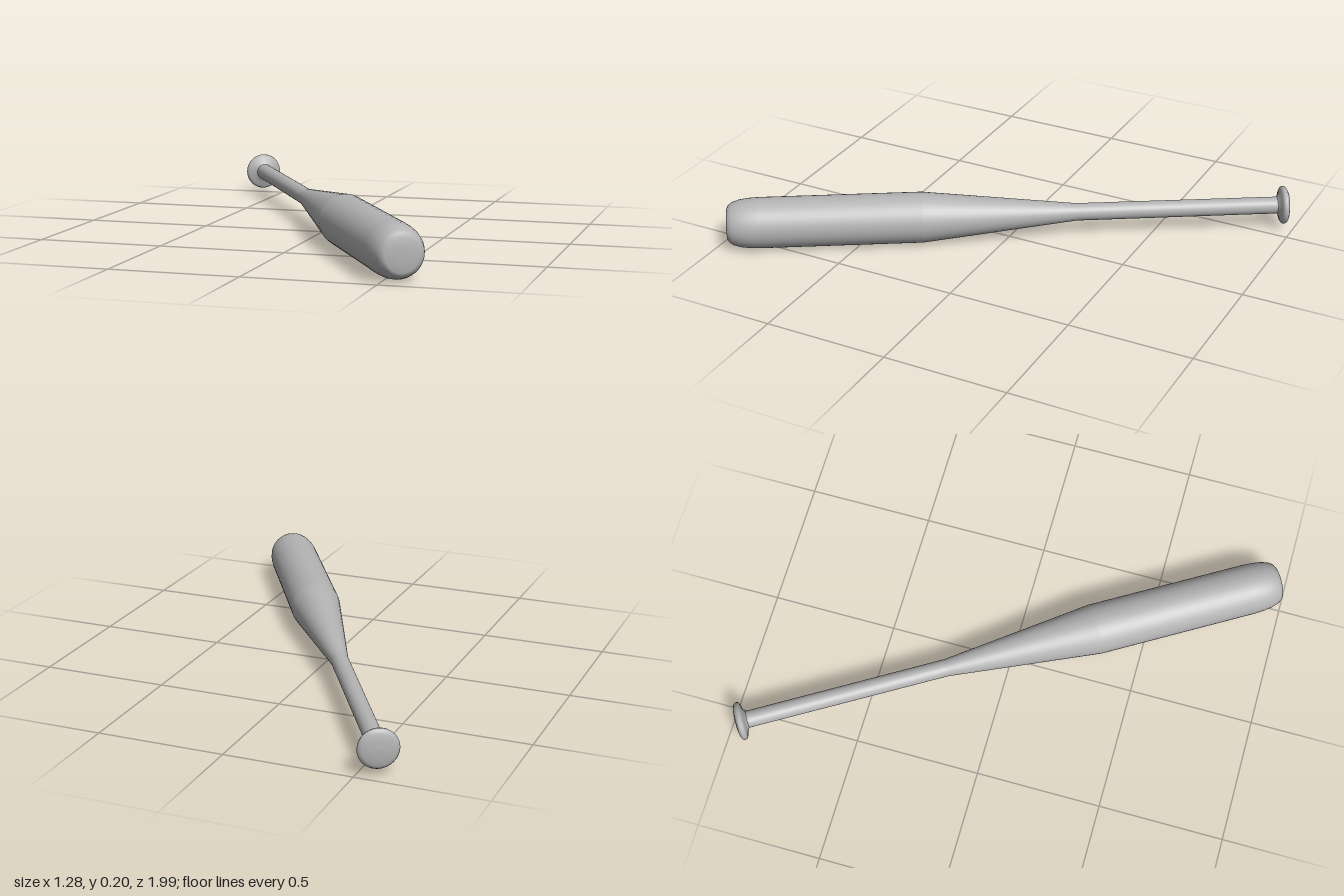
import * as THREE from 'three';

export function createModel() {
  const model = new THREE.Group();
  const bat = new THREE.Group();
  bat.name = 'bat';
  const grey = new THREE.MeshStandardMaterial({ color: 0xb4b4b4 });
  grey.name = 'plain grey';

  // Turned part from a profile of [radius, distance along the axis]
  const turned = (name, profile) => {
    const points = profile.map(([r, t]) => new THREE.Vector2(r, t));
    const geometry = new THREE.LatheGeometry(points, 40);
    geometry.rotateX(Math.PI / 2);
    const mesh = new THREE.Mesh(geometry, grey);
    mesh.name = name;
    bat.add(mesh);
  };

  // Slightly domed end knob
  turned('knob', [
    [0, -1.134], [0.035, -1.132], [0.06, -1.128], [0.072, -1.122], [0.077, -1.113],
    [0.075, -1.104], [0.066, -1.098], [0.045, -1.093], [0.034, -1.085],
  ]);
  // Slim grip
  turned('handle', [[0.034, -1.1], [0.035, -0.27]]);
  // Widening shoulder
  turned('taper', [[0.035, -0.27], [0.102, 0.35]]);
  // Barrel with a rounded, nearly flat end
  turned('barrel', [
    [0.102, 0.35], [0.102, 1.0], [0.1, 1.04], [0.095, 1.075], [0.086, 1.103],
    [0.076, 1.118], [0.064, 1.125], [0.03, 1.128], [0, 1.128],
  ]);

  // Lying flat, turned diagonally in plan
  bat.rotation.y = THREE.MathUtils.degToRad(31.1);
  bat.position.y = 0.102;
  model.add(bat);
  return model;
}
